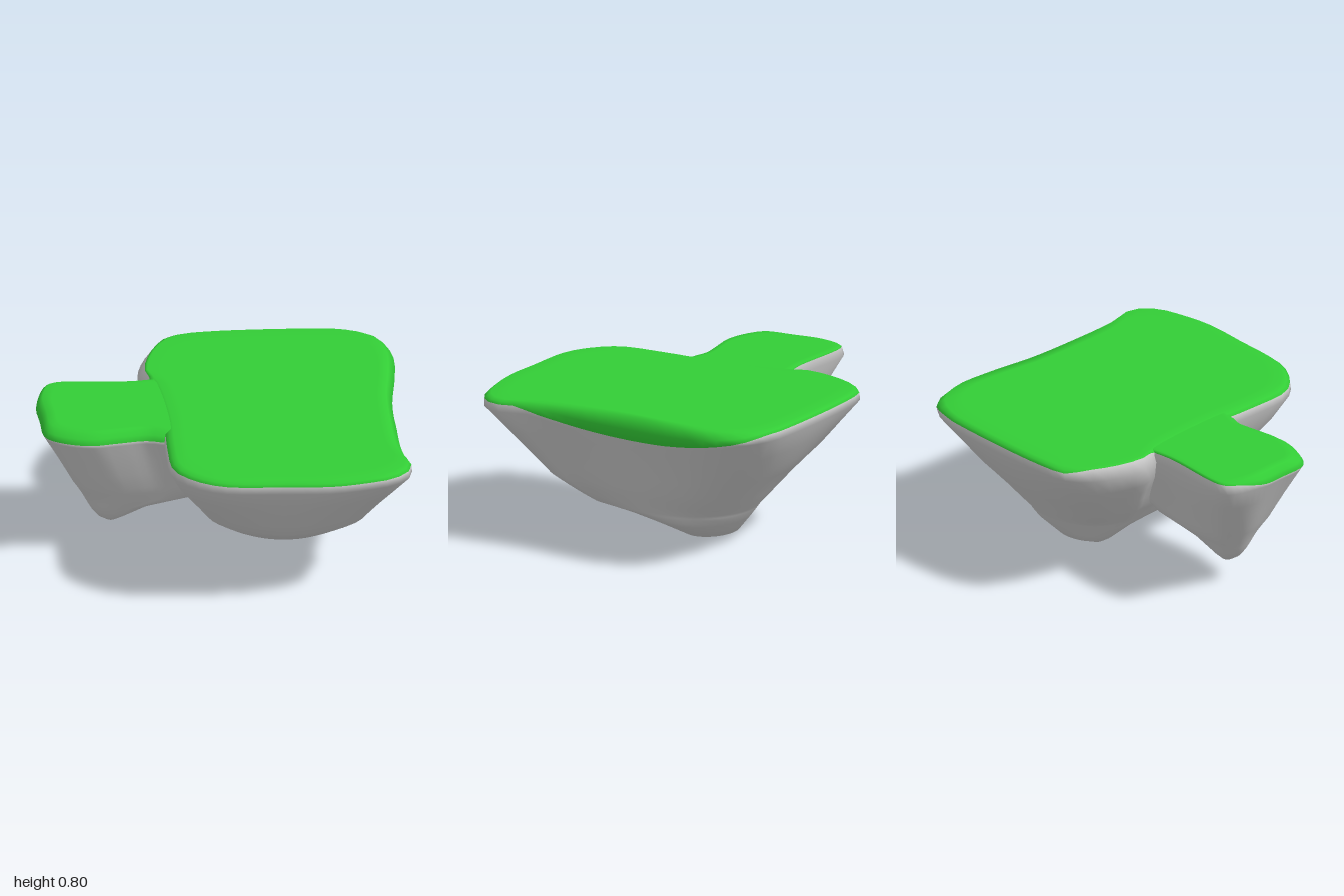
import * as THREE from 'three';

const SEG = 72;
const { lerp, smoothstep } = THREE.MathUtils;

// Interpolate the profile rows [y, x0, x1, z0, z1, roundness] at a height
function rowAt(rows, y) {
  if (y >= rows[0][0]) return rows[0];
  for (let k = 1; k < rows.length; k++) {
    if (y >= rows[k][0]) {
      const t = (rows[k - 1][0] - y) / (rows[k - 1][0] - rows[k][0]);
      return rows[k].map((v, j) => lerp(rows[k - 1][j], v, t));
    }
  }
  return rows[rows.length - 1];
}

// Loft a plan outline down to a tip; grass covers the top down to grassLine(x, z)
function makeIsland(name, outline, ref, rows, lowerHeights, grassLine) {
  const curve = new THREE.CatmullRomCurve3(
    outline.map(([x, z]) => new THREE.Vector3(x, 0, z)), true, 'centripetal');
  const plan = curve.getSpacedPoints(SEG).slice(0, SEG);
  const top = rows[0][0];
  const ringCount = 7 + lowerHeights.length;
  const grassRing = 4;
  const pos = [];

  const place = (p, y, inset = 1) => {
    const [, x0, x1, z0, z1, round] = rowAt(rows, y);
    const u = (2 * p.x - ref[0] - ref[1]) / (ref[1] - ref[0]);
    const v = (2 * p.z - ref[2] - ref[3]) / (ref[3] - ref[2]);
    const s = lerp(1, 1 / Math.hypot(u, v), round) * inset;
    pos.push((x0 + x1) / 2 + u * s * (x1 - x0) / 2, y, (z0 + z1) / 2 + v * s * (z1 - z0) / 2);
  };

  for (let k = 0; k < ringCount; k++) {
    for (const p of plan) {
      const g = grassLine(p.x, p.z);
      if (k === 0) place(p, top, 0.5);
      else if (k === 1) place(p, top, 0.9);
      else if (k === 2) place(p, top);
      else if (k === 3) place(p, lerp(top, g, 0.5));
      else if (k === 4) place(p, g);
      else if (k === 5) place(p, Math.min(g - 0.02, 0.73));
      else if (k === 6) place(p, 0.6);
      else place(p, lowerHeights[k - 7]);
    }
  }
  // Centre points of the top and the tip
  const centre = (row) => pos.push((row[1] + row[2]) / 2, row[0], (row[3] + row[4]) / 2);
  centre(rows[0]);
  centre(rows[rows.length - 1]);

  const topPoint = ringCount * SEG, tipPoint = topPoint + 1;
  const grass = [], rock = [];
  for (let i = 0; i < SEG; i++) {
    const j = (i + 1) % SEG;
    grass.push(topPoint, j, i);
    for (let k = 0; k < ringCount - 1; k++) {
      const a = k * SEG, b = a + SEG;
      (k < grassRing ? grass : rock).push(a + i, a + j, b + i, a + j, b + j, b + i);
    }
    const e = (ringCount - 1) * SEG;
    rock.push(tipPoint, e + i, e + j);
  }

  // Both meshes share normals, so shading runs smoothly across the grass line
  const whole = new THREE.BufferGeometry();
  whole.setAttribute('position', new THREE.Float32BufferAttribute(pos, 3));
  whole.setIndex([...grass, ...rock]);
  whole.computeVertexNormals();
  const group = new THREE.Group();
  group.name = name;
  for (const [part, index, color] of [['Grass', grass, 0x33cd36], ['Rock', rock, 0xcccccc]]) {
    const geo = whole.clone().setIndex(index);
    const mesh = new THREE.Mesh(geo, new THREE.MeshStandardMaterial({ color }));
    mesh.name = name + part;
    group.add(mesh);
  }
  return group;
}

// Grass hangs low on the right flank and stops at the rim in the rear left notch
function mainGrass(x, z) {
  const hang = 0.11 * smoothstep(x, 0.6, 0.9) * Math.max(0, 1 - ((z + 0.15) / 0.75) ** 2);
  const notch = 0.018 * smoothstep(-x, 0.2, 0.35) * smoothstep(-z, 0.3, 0.45);
  return 0.772 - hang + notch;
}

export function createModel() {
  const model = new THREE.Group();
  model.name = 'floatingIsland';

  // Large island: rounded front belly and a keel that deepens towards the back
  model.add(makeIsland('mainIsland',
    [[-0.34, -0.79], [-0.23, -0.89], [-0.06, -0.92], [0.54, -0.92], [0.73, -0.9], [0.89, -0.82],
      [0.97, -0.65], [0.97, -0.4], [0.94, -0.1], [0.94, 0.2], [0.96, 0.54], [1, 0.7], [0.97, 0.78],
      [0.88, 0.85], [0.74, 0.89], [0.56, 0.92], [0.3, 0.91], [-0.06, 0.88], [-0.23, 0.78],
      [-0.31, 0.67], [-0.33, 0.4], [-0.33, 0.1], [-0.38, -0.35], [-0.43, -0.49]],
    [-0.33, 1, -0.92, 0.92],
    [[0.797, -0.28, 0.96, -0.88, 0.88, 0],
      [0.775, -0.32, 0.99, -0.91, 0.91, 0],
      [0.74, -0.33, 1, -0.92, 0.92, 0],
      [0.66, -0.32, 0.96, -0.87, 0.87, 0.08],
      [0.5, -0.23, 0.87, -0.77, 0.76, 0.25],
      [0.34, -0.14, 0.79, -0.64, 0.64, 0.45],
      [0.26, -0.08, 0.74, -0.58, 0.53, 0.6],
      [0.2, -0.04, 0.7, -0.53, 0.43, 0.8],
      [0.17, -0.01, 0.68, -0.51, 0.22, 0.9],
      [0.13, 0.03, 0.64, -0.48, 0.04, 1],
      [0.04, 0.12, 0.48, -0.4, -0.12, 1],
      [0, 0.18, 0.33, -0.3, -0.2, 1]],
    [0.5, 0.42, 0.34, 0.29, 0.24, 0.2, 0.185, 0.17, 0.15, 0.13, 0.085, 0.04, 0],
    mainGrass));

  // Small island joined to the side, with its own pointed root
  model.add(makeIsland('sideIsland',
    [[-0.95, -0.36], [-0.88, -0.38], [-0.5, -0.36], [-0.3, -0.38], [0, -0.34], [0.03, 0], [0, 0.24],
      [-0.3, 0.28], [-0.42, 0.25], [-0.58, 0.27], [-0.73, 0.29], [-0.88, 0.25], [-0.97, 0.18],
      [-0.99, 0], [-1, -0.2]],
    [-1, 0, -0.38, 0.29],
    [[0.792, -0.96, 0, -0.36, 0.23, 0],
      [0.775, -0.98, 0, -0.375, 0.26, 0],
      [0.74, -1, 0, -0.38, 0.29, 0],
      [0.68, -0.97, 0, -0.36, 0.27, 0.05],
      [0.4, -0.83, 0, -0.24, 0.17, 0.3],
      [0.3, -0.77, -0.12, -0.2, 0.12, 0.5],
      [0.23, -0.73, -0.38, -0.15, 0.08, 0.7],
      [0.16, -0.69, -0.5, -0.11, 0.04, 0.9],
      [0.12, -0.63, -0.57, -0.07, -0.01, 1]],
    [0.5, 0.4, 0.35, 0.3, 0.265, 0.23, 0.19, 0.15, 0.12],
    (x, z) => 0.78 - 0.045 * smoothstep(z, -0.36, -0.05)));

  return model;
}
